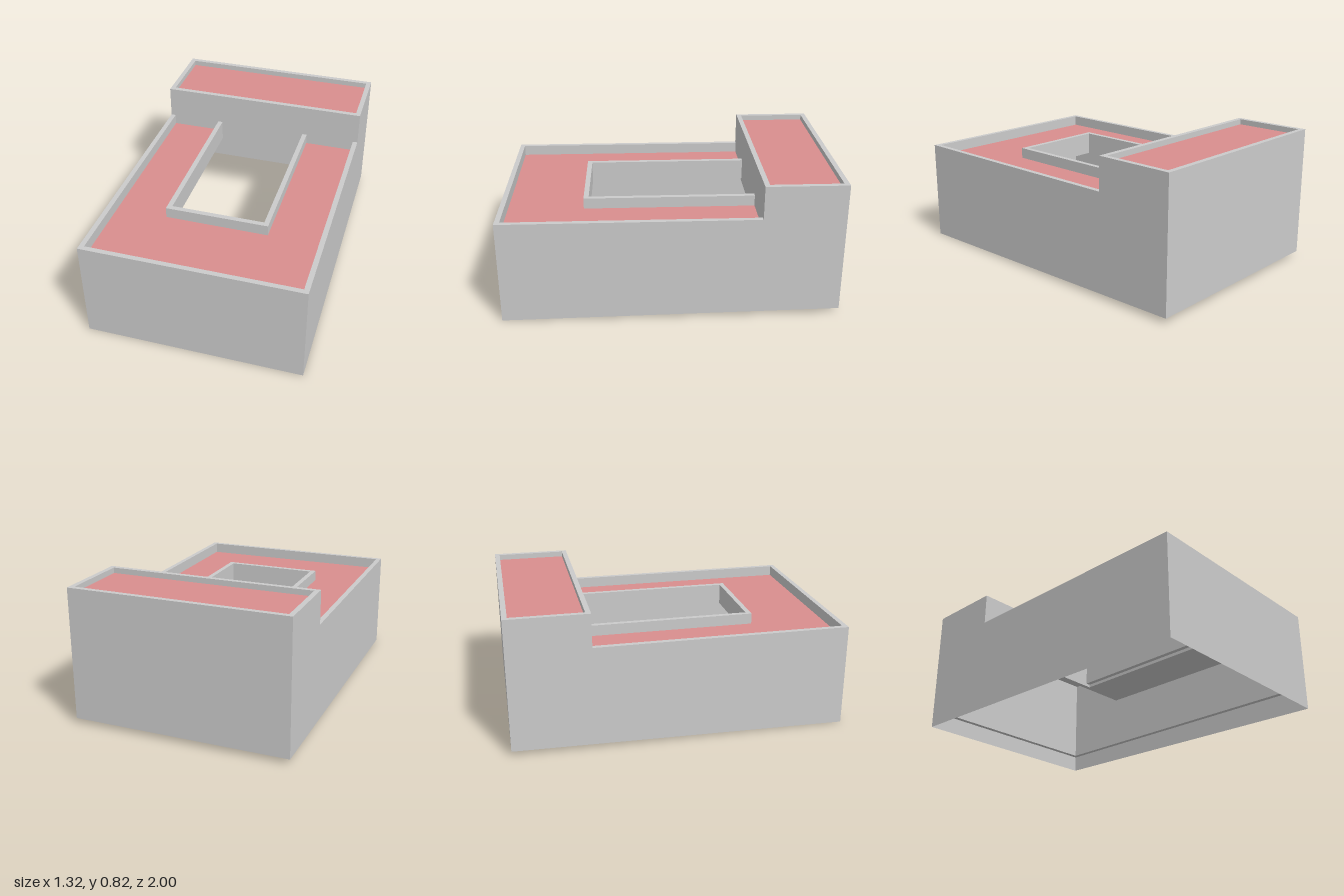
import * as THREE from 'three';

const W = 0.651, D = 0.9925, T = 0.03;      // half width, half depth, wall thickness
const STEP = -0.516;                        // front face of the raised rear block
const LOW = 0.62, HIGH = 0.82, LEDGE = 0.135;
const CX = 0.28, CZ = 0.48;                 // courtyard half width and front edge

const grey = new THREE.MeshStandardMaterial({ color: 0xcccccc, flatShading: true });
const thin = new THREE.MeshStandardMaterial({ color: 0xcccccc, flatShading: true, side: THREE.DoubleSide });
const red = new THREE.MeshStandardMaterial({ color: 0xd98e8e });

export function createModel() {
  const model = new THREE.Group();
  model.name = 'building';

  const add = (name, geometry, material = grey) => {
    const mesh = new THREE.Mesh(geometry, material);
    mesh.name = name;
    model.add(mesh);
  };
  const box = (name, x0, x1, y0, y1, z0, z1) => {
    const g = new THREE.BoxGeometry(x1 - x0, y1 - y0, z1 - z0);
    add(name, g.translate((x0 + x1) / 2, (y0 + y1) / 2, (z0 + z1) / 2));
  };
  const outline = (points) => new THREE.Shape(points.map(([a, b]) => new THREE.Vector2(a, b)));

  // Side walls with a stepped top
  const profile = outline([[-D, LEDGE], [D, LEDGE], [D, LOW], [STEP, LOW], [STEP, HIGH], [-D, HIGH]]);
  for (const [name, x] of [['leftWall', W], ['rightWall', -W + T]]) {
    const g = new THREE.ExtrudeGeometry(profile, { depth: T, bevelEnabled: false });
    add(name, g.rotateY(-Math.PI / 2).translate(x, 0, 0));
  }
  const xi = W - T, zi = D - T;
  box('frontWall', -xi, xi, LEDGE, LOW, zi, D);
  box('backWall', -xi, xi, LEDGE, HIGH, -D, -zi);
  box('stepWall', -xi, xi, 0.47, HIGH, STEP - T, STEP);

  // Thin skirt below the walls, its lower edge following sloping ground
  const corners = [[-W, D], [W, D], [W, -D], [-W, -D]];
  const skirt = [];
  corners.forEach(([x, z], i) => {
    const [x2, z2] = corners[(i + 1) % 4];
    const ground = (v) => 0.0155 * (1 - v / D);
    const a = [x, ground(z), z], b = [x2, ground(z2), z2];
    const c = [x2, LEDGE, z2], d = [x, LEDGE, z];
    skirt.push(...a, ...b, ...c, ...a, ...c, ...d);
  });
  const skirtGeometry = new THREE.BufferGeometry();
  skirtGeometry.setAttribute('position', new THREE.Float32BufferAttribute(skirt, 3));
  skirtGeometry.computeVertexNormals();
  add('foundationSkirt', skirtGeometry, thin);

  // Courtyard parapet
  box('courtyardLeftParapet', CX, CX + T, 0.49, LOW, STEP, CZ + T);
  box('courtyardRightParapet', -CX - T, -CX, 0.49, LOW, STEP, CZ + T);
  box('courtyardFrontParapet', -CX, CX, 0.49, LOW, CZ, CZ + T);

  // Roof slabs with a coloured covering (outline given as x, z)
  const roof = (name, points, bottom, top) => {
    const shape = outline(points.map(([x, z]) => [x, -z]));
    const slab = new THREE.ExtrudeGeometry(shape, { depth: top - 0.002 - bottom, bevelEnabled: false });
    add(name + 'Slab', slab.rotateX(-Math.PI / 2).translate(0, bottom, 0));
    add(name + 'Covering', new THREE.ShapeGeometry(shape).rotateX(-Math.PI / 2).translate(0, top, 0), red);
  };
  const co = CX + T, cz = CZ + T;
  roof('lowerRoof', [[-xi, zi], [xi, zi], [xi, STEP], [co, STEP], [co, cz], [-co, cz], [-co, STEP], [-xi, STEP]], 0.47, 0.555);
  roof('upperRoof', [[-xi, STEP - T], [xi, STEP - T], [xi, -zi], [-xi, -zi]], 0.7, 0.787);

  model.rotation.y = -0.0105;
  return model;
}
